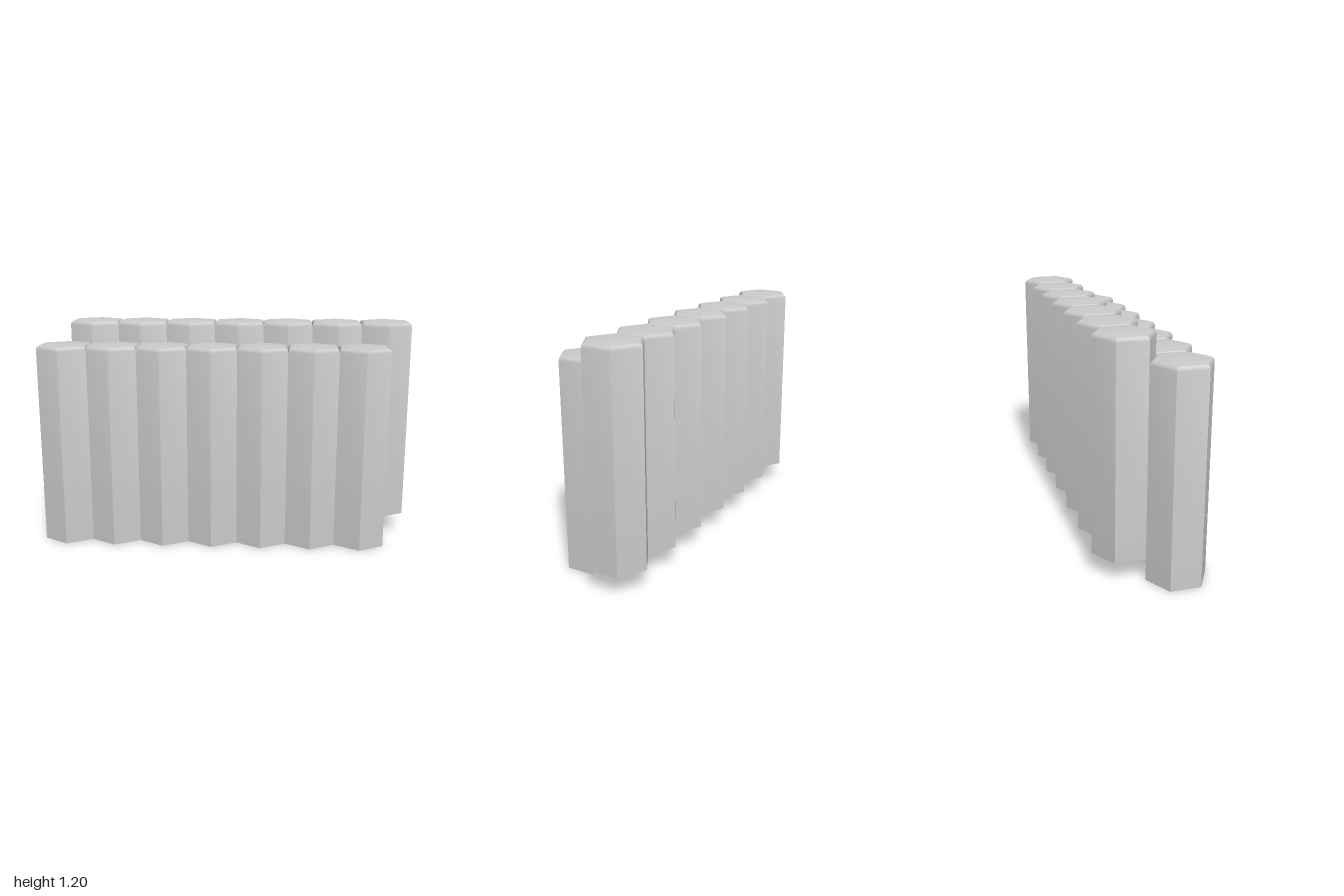
import * as THREE from 'three';
import { toCreasedNormals } from 'three/addons/utils/BufferGeometryUtils.js';

const COUNT = 7;
const WIDTH = 2 / (COUNT + 0.5);        // flat-to-flat width of one column
const RADIUS = WIDTH / Math.sqrt(3);    // centre-to-corner radius
const HEIGHT = 1.09;

// Six-sided column with a rounded rim and a slightly domed cap
function columnGeometry() {
  const profile = [
    [0, 0],
    [RADIUS, 0],
    [RADIUS, HEIGHT - 0.028],
    [RADIUS - 0.004, HEIGHT - 0.016],
    [RADIUS - 0.014, HEIGHT - 0.008],
    [RADIUS * 0.5, HEIGHT - 0.002],
    [0, HEIGHT],
  ].map(([r, y]) => new THREE.Vector2(r, y));
  return toCreasedNormals(new THREE.LatheGeometry(profile, 6), 0.6);
}

export function createModel() {
  const model = new THREE.Group();
  model.name = 'hexagonalColumns';
  const geometry = columnGeometry();
  const material = new THREE.MeshStandardMaterial({ color: 0xcccccc });

  // Two interlocking rows; the back one is raised and shifted half a column
  const rows = [
    { name: 'frontRow', x: -1 + WIDTH / 2, y: 0, z: RADIUS * 0.75 },
    { name: 'backRow', x: -1 + WIDTH, y: 0.11, z: -RADIUS * 0.75 },
  ];
  for (const { name, x, y, z } of rows) {
    const row = new THREE.Group();
    row.name = name;
    row.position.set(x, y, z);
    for (let i = 0; i < COUNT; i++) {
      const column = new THREE.Mesh(geometry, material);
      column.name = 'column' + (i + 1);
      column.position.x = i * WIDTH;
      row.add(column);
    }
    model.add(row);
  }
  return model;
}
